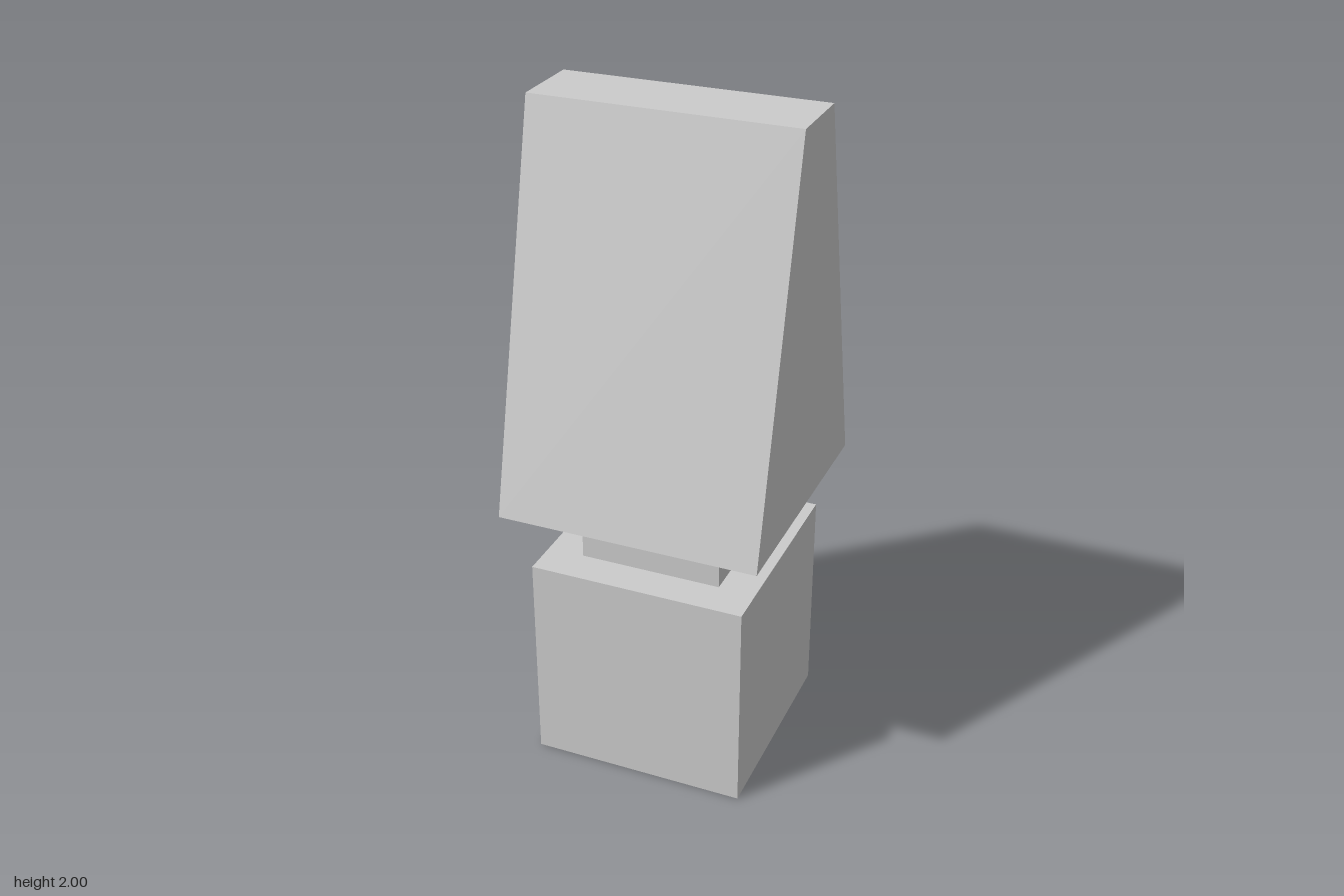
import * as THREE from 'three';

const material = new THREE.MeshStandardMaterial({ color: 0xcccccc, flatShading: true });

// Square block of the given width between two heights
function block(name, width, bottom, top) {
  const mesh = new THREE.Mesh(new THREE.BoxGeometry(width, top - bottom, width), material);
  mesh.name = name;
  mesh.position.y = (bottom + top) / 2;
  return mesh;
}

// Wedge: trapezoid side profile extruded across the width
function wedge(name, width, bottom, top, baseDepth, topDepth) {
  const b = baseDepth / 2, t = topDepth / 2;
  const profile = new THREE.Shape([
    new THREE.Vector2(-b, bottom),
    new THREE.Vector2(b, bottom),
    new THREE.Vector2(t, top),
    new THREE.Vector2(-t, top),
  ]);
  const geometry = new THREE.ExtrudeGeometry(profile, { depth: width, bevelEnabled: false });
  geometry.translate(0, 0, -width / 2);
  geometry.rotateY(Math.PI / 2);
  const mesh = new THREE.Mesh(geometry, material);
  mesh.name = name;
  return mesh;
}

export function createModel() {
  const model = new THREE.Group();
  model.name = 'keySwitch';
  model.add(
    block('base', 0.65, 0, 0.655),
    block('neck', 0.428, 0.655, 0.846),
    wedge('taperedHead', 0.778, 0.846, 2, 0.778, 0.227),
  );
  model.children[0].parent.name = 'blockWithTaperedHead';
  return model;
}
